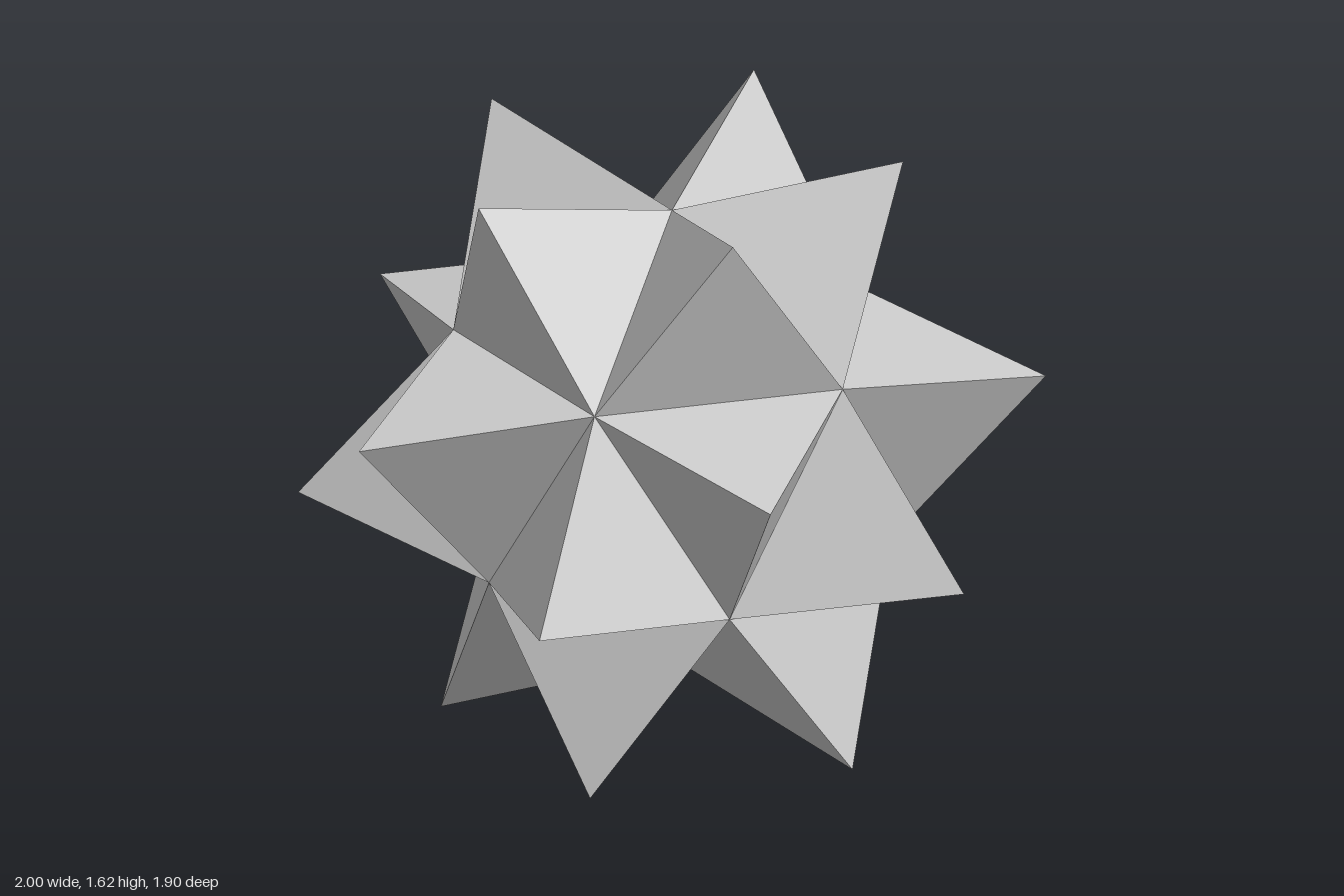
import * as THREE from 'three';

const CENTRE_Y = 0.809;  // half the overall height
const CORE_R = 0.654;    // radius of the icosahedral core corners
const TIP_R = 1.0185;    // distance of the spike tips from the centre

// Three-sided open pyramid on one outward-wound triangle of the core
function spike(a, b, c, material) {
  const tip = new THREE.Vector3().add(a).add(b).add(c).setLength(TIP_R);
  const geometry = new THREE.BufferGeometry().setFromPoints([a, b, tip, b, c, tip, c, a, tip]);
  geometry.computeVertexNormals();
  return new THREE.Mesh(geometry, material);
}

export function createModel() {
  const group = new THREE.Group();
  group.name = 'spikedStar';
  const material = new THREE.MeshStandardMaterial({ color: 0xcccccc, flatShading: true });

  // Core corners: two poles and two staggered rings of five
  const ringR = CORE_R * 2 / Math.sqrt(5), ringY = CORE_R / Math.sqrt(5);
  const ring = (y, offset) => Array.from({ length: 5 }, (_, i) => {
    const angle = (i + offset) * Math.PI * 2 / 5;
    return new THREE.Vector3(ringR * Math.cos(angle), y, ringR * Math.sin(angle));
  });
  const top = new THREE.Vector3(0, CORE_R, 0);
  const bottom = new THREE.Vector3(0, -CORE_R, 0);
  const upper = ring(ringY, 0), lower = ring(-ringY, 0.5);

  // Four spikes per fifth of a turn
  for (let i = 0; i < 5; i++) {
    const j = (i + 1) % 5;
    const faces = {
      topSpike: [top, upper[j], upper[i]],
      upperSideSpike: [upper[i], upper[j], lower[i]],
      lowerSideSpike: [lower[i], upper[j], lower[j]],
      bottomSpike: [bottom, lower[i], lower[j]],
    };
    for (const [name, [a, b, c]] of Object.entries(faces)) {
      const mesh = spike(a, b, c, material);
      mesh.name = name + (i + 1);
      mesh.position.y = CENTRE_Y;
      group.add(mesh);
    }
  }
  return group;
}
